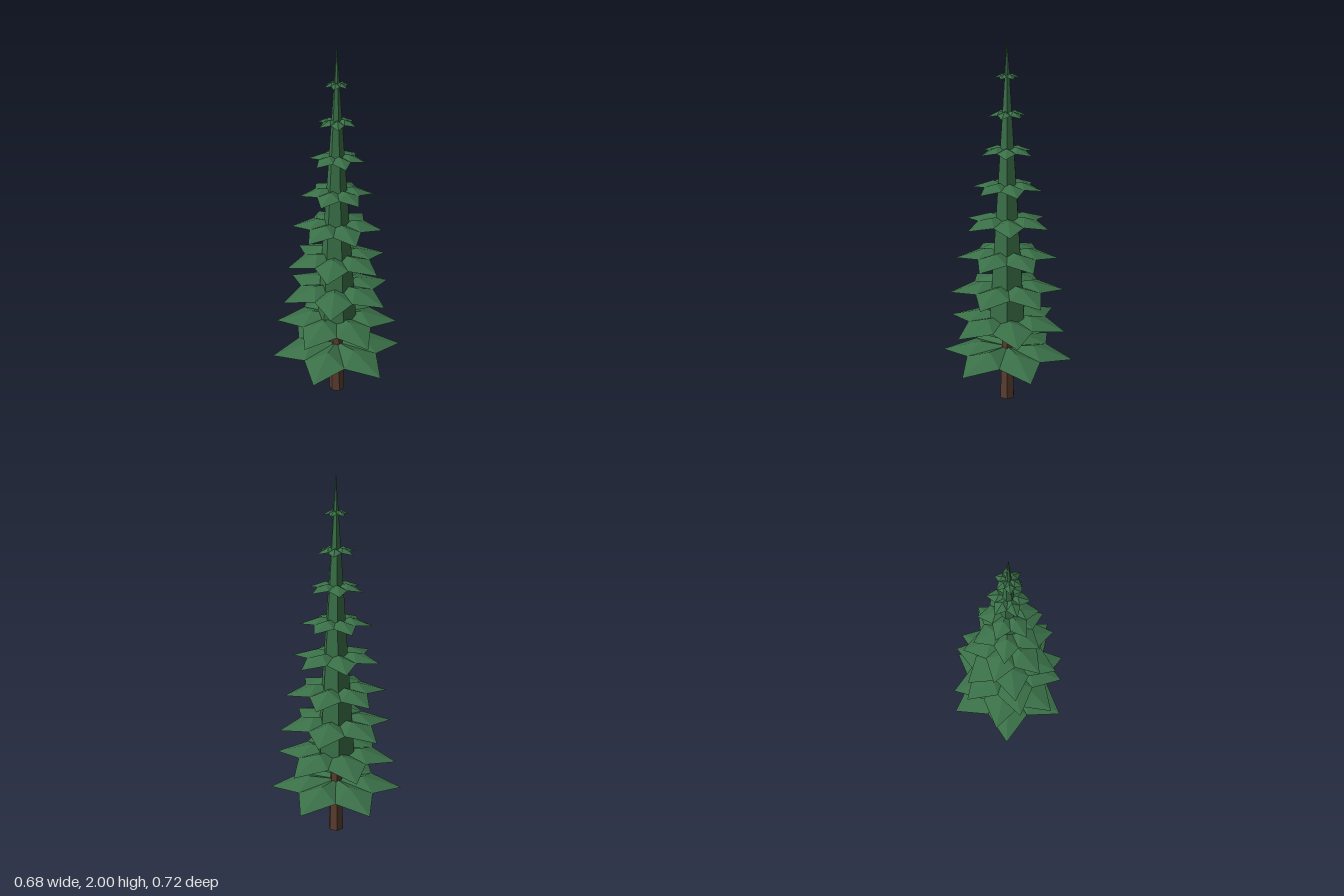
import * as THREE from 'three';

const green = new THREE.MeshStandardMaterial({ color: 0x3a7048, flatShading: true, side: THREE.DoubleSide });
const brown = new THREE.MeshStandardMaterial({ color: 0x5a3d30, flatShading: true });

// Six-pointed drooping star: each leaf is folded along a raised ridge
function starGeometry(radius, tipY, turn) {
  const rise = 0.015 + 0.145 * radius;
  const at = (r, y, deg) => {
    const a = THREE.MathUtils.degToRad(deg);
    return [r * Math.cos(a), tipY + y * rise, r * Math.sin(a)];
  };
  const centre = at(0, 0.75, 0);
  const positions = [];
  for (let i = 0; i < 6; i++) {
    const deg = turn + i * 60;
    const tip = at(radius, 0, deg);
    const ridge = at(radius * 0.4, 1, deg);
    const before = at(radius * 0.64, 0.38, deg - 30);
    const after = at(radius * 0.64, 0.38, deg + 30);
    positions.push(
      ...centre, ...ridge, ...before,
      ...centre, ...after, ...ridge,
      ...ridge, ...tip, ...before,
      ...ridge, ...after, ...tip
    );
  }
  const geometry = new THREE.BufferGeometry();
  geometry.setAttribute('position', new THREE.Float32BufferAttribute(positions, 3));
  geometry.computeVertexNormals();
  return geometry;
}

// Upright hexagonal post with corners on the x axis
function hexPost(name, topRadius, bottomRadius, y0, y1, material) {
  const geometry = new THREE.CylinderGeometry(topRadius, bottomRadius, y1 - y0, 6, 1, false, Math.PI / 6);
  geometry.translate(0, (y0 + y1) / 2, 0);
  const mesh = new THREE.Mesh(geometry, material);
  mesh.name = name;
  return mesh;
}

export function createModel() {
  const tree = new THREE.Group();
  tree.name = 'pineTree';

  tree.add(hexPost('trunk', 0.03, 0.044, 0, 0.42, brown));
  tree.add(hexPost('foliageCore', 0, 0.115, 0.4, 2, green));

  // Branch tiers from bottom to top: radius and turn in degrees
  const tiers = [
    [0.365, 39.5], [0.335, 50], [0.312, 25.5], [0.277, 30], [0.243, 56],
    [0.193, 44], [0.15, 2], [0.106, 15], [0.068, 30]
  ];
  tiers.forEach(([radius, turn], i) => {
    const tier = new THREE.Mesh(starGeometry(radius, 0.26 + i * 0.191, turn), green);
    tier.name = `branchTier${i + 1}`;
    tree.add(tier);
  });

  return tree;
}
